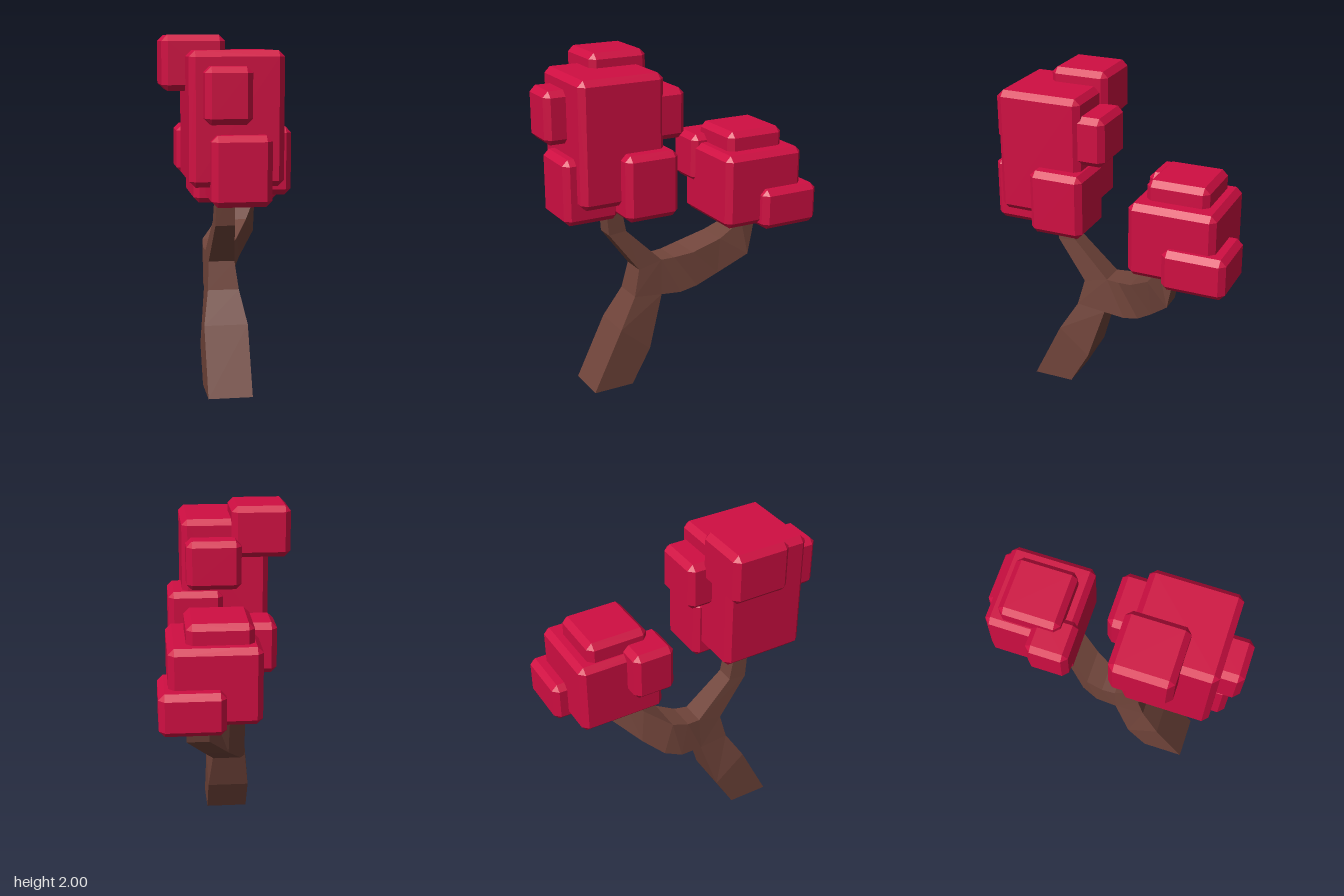
import * as THREE from 'three';
import { ConvexGeometry } from 'three/addons/geometries/ConvexGeometry.js';

const bark = new THREE.MeshStandardMaterial({ color: 0x70443a, flatShading: true, side: THREE.DoubleSide });
bark.name = 'bark brown';
const leaf = new THREE.MeshStandardMaterial({ color: 0xd00e42, flatShading: true });
leaf.name = 'leaf crimson';

// Box with all edges chamfered, given by its min and max corners
function leafBlock(name, [x0, x1], [y0, y1], [z0, z1], c = 0.033) {
  const h = [(x1 - x0) / 2, (y1 - y0) / 2, (z1 - z0) / 2];
  const points = [];
  for (const sx of [-1, 1]) for (const sy of [-1, 1]) for (const sz of [-1, 1]) {
    for (let axis = 0; axis < 3; axis++) {
      const p = h.map((v, i) => (i === axis ? v : v - c));
      points.push(new THREE.Vector3(sx * p[0], sy * p[1], sz * p[2]));
    }
  }
  const mesh = new THREE.Mesh(new ConvexGeometry(points), leaf);
  mesh.name = name;
  mesh.position.set((x0 + x1) / 2, (y0 + y1) / 2, (z0 + z1) / 2);
  return mesh;
}

// Four-sided loft; each row is one edge then the opposite edge: y, z, x0, x1
function limb(name, rows) {
  const rings = rows.map(([ya, za, a0, a1, yb, zb, b0, b1]) => [
    [a0, ya, za], [a1, ya, za], [b1, yb, zb], [b0, yb, zb],
  ]);
  const pos = [];
  for (let i = 0; i < rings.length - 1; i++) {
    for (let j = 0; j < 4; j++) {
      const k = (j + 1) % 4;
      const a = rings[i][j], b = rings[i][k], c = rings[i + 1][k], d = rings[i + 1][j];
      pos.push(...a, ...b, ...c, ...a, ...c, ...d);
    }
  }
  const geometry = new THREE.BufferGeometry();
  geometry.setAttribute('position', new THREE.Float32BufferAttribute(pos, 3));
  geometry.computeVertexNormals();
  const mesh = new THREE.Mesh(geometry, bark);
  mesh.name = name;
  return mesh;
}

export function createModel() {
  const tree = new THREE.Group();
  tree.name = 'tree';

  // Leaning trunk that continues into the front branch
  tree.add(limb('trunkAndFrontBranch', [
    [0, 0.55, -0.17, 0.08, 0, 0.30, -0.17, 0.08],
    [0.37, 0.37, -0.17, 0.08, 0.21, 0.18, -0.17, 0.08],
    [0.55, 0.26, -0.135, 0.045, 0.53, 0.08, -0.135, 0.045],
    [0.71, 0.22, -0.125, 0.025, 0.745, 0.07, -0.125, 0.025],
    [0.95, 0.40, -0.11, 0, 0.96, 0.29, -0.11, 0],
    [1.22, 0.425, -0.10, 0, 1.22, 0.34, -0.10, 0],
  ]));

  // Back branch, curving sideways and up
  tree.add(limb('backBranch', [
    [0.745, 0.07, -0.125, 0.025, 0.53, 0.08, -0.135, 0.045],
    [0.75, -0.01, -0.13, 0.04, 0.52, -0.05, -0.125, 0.05],
    [0.78, -0.11, -0.12, 0.09, 0.55, -0.15, -0.09, 0.07],
    [0.87, -0.25, -0.02, 0.17, 0.635, -0.26, -0.01, 0.13],
    [0.99, -0.35, 0.11, 0.24, 0.77, -0.40, 0.11, 0.24],
    [1.08, -0.36, 0.12, 0.24, 1.08, -0.46, 0.12, 0.24],
  ]));

  // Front crown
  const front = new THREE.Group();
  front.name = 'frontCrown';
  front.add(
    leafBlock('frontCrownCore', [-0.28, 0.23], [1.2, 1.92], [0.15, 0.66]),
    leafBlock('frontCrownTop', [-0.405, -0.06], [1.7, 2], [0.11, 0.46]),
    leafBlock('frontCrownUpperFace', [-0.21, 0.04], [1.54, 1.84], [0.53, 0.78]),
    leafBlock('frontCrownLowerFace', [-0.17, 0.155], [1.1, 1.48], [0.4, 0.73]),
    leafBlock('frontCrownSide', [-0.01, 0.315], [1.12, 1.5], [0.105, 0.43]),
    leafBlock('frontCrownRear', [-0.11, 0.21], [1.535, 1.82], [0.01, 0.33]),
  );

  // Back crown
  const back = new THREE.Group();
  back.name = 'backCrown';
  back.add(
    leafBlock('backCrownCore', [-0.16, 0.345], [0.985, 1.42], [-0.7, -0.19]),
    leafBlock('backCrownTop', [-0.12, 0.245], [1.22, 1.53], [-0.625, -0.26]),
    leafBlock('backCrownCorner', [0.04, 0.4], [0.96, 1.2], [-0.78, -0.41]),
    leafBlock('backCrownInner', [-0.265, -0.015], [1.175, 1.465], [-0.42, -0.17]),
  );

  tree.add(front, back);
  return tree;
}
